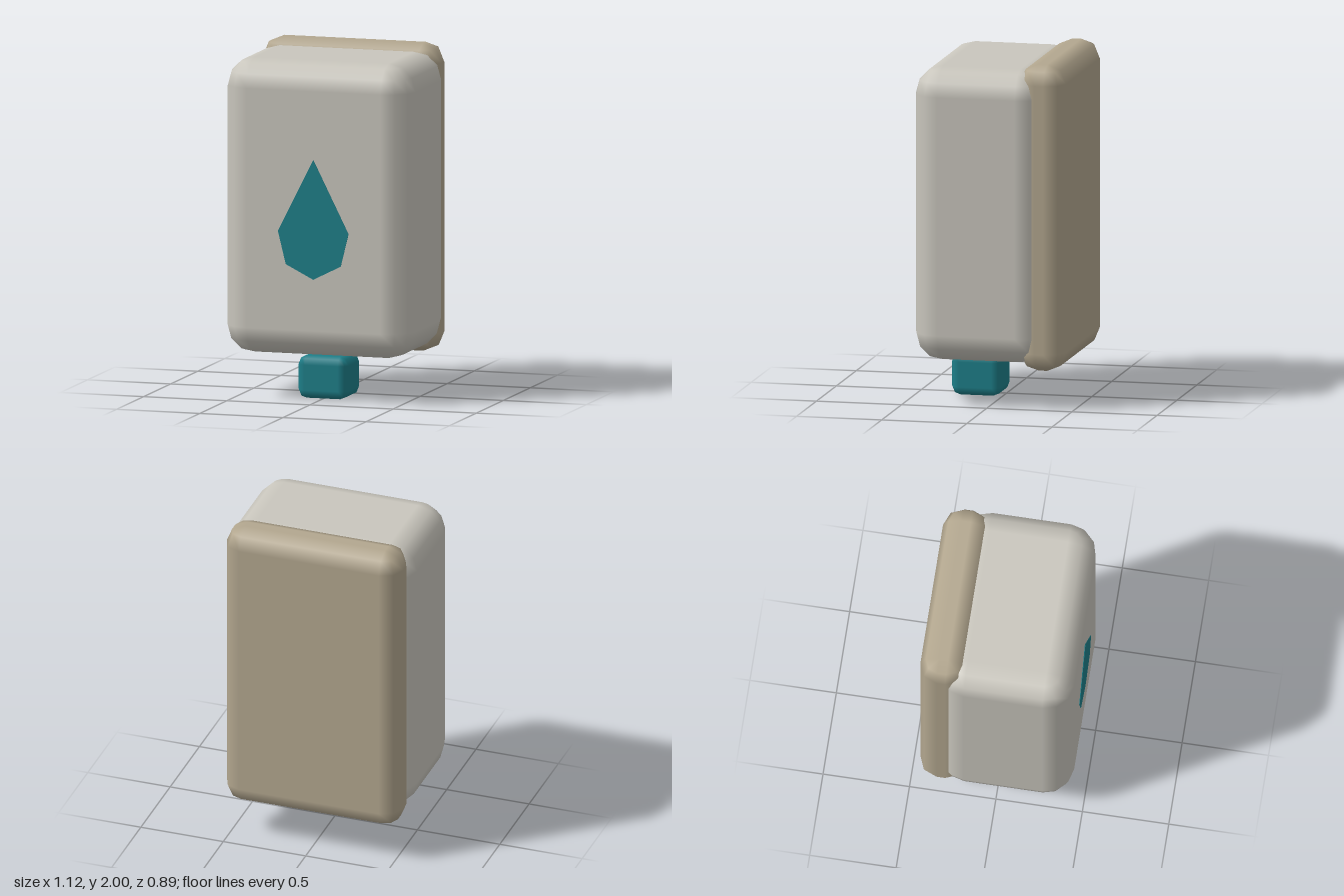
import * as THREE from 'three';

// Box with evenly bevelled edges: a sphere split into corners that are pushed apart.
// n = bevel segments, r = bevel radius
function bevelBox(w, h, d, r, n) {
  const cols = 4 * (n + 1), rows = 2 * n + 3;
  const geo = new THREE.SphereGeometry(1, cols, rows);
  const pos = geo.attributes.position, nor = geo.attributes.normal;
  const quarter = Math.PI / 2;
  for (let j = 0; j <= rows; j++) {
    const top = j <= n + 1;
    const isCentre = j === 0 || j === rows;
    const lat = isCentre ? (top ? 0 : Math.PI) : ((top ? j - 1 : j - 2) / n) * quarter;
    for (let i = 0; i <= cols; i++) {
      const k = j * (cols + 1) + i;
      const corner = Math.floor((i % cols) / (n + 1));
      const step = (i % cols) % (n + 1);
      const phi = (corner + step / n) * quarter;
      const mid = (corner + 0.5) * quarter;
      const nx = -Math.cos(phi) * Math.sin(lat);
      const ny = Math.cos(lat);
      const nz = Math.sin(phi) * Math.sin(lat);
      const spread = isCentre ? 0 : 1;
      pos.setXYZ(k,
        nx * r - Math.sign(Math.cos(mid)) * (w / 2 - r) * spread,
        ny * r + (top ? 1 : -1) * (h / 2 - r),
        nz * r + Math.sign(Math.sin(mid)) * (d / 2 - r) * spread);
      nor.setXYZ(k, nx, ny, nz);
    }
  }
  return geo;
}

export function createModel() {
  const group = new THREE.Group();
  const grey = new THREE.MeshStandardMaterial({ color: 0xc9c6bd });
  const tan = new THREE.MeshStandardMaterial({ color: 0xb3a78f });
  const teal = new THREE.MeshStandardMaterial({ color: 0x1d7f89 });

  function add(name, geo, material, x, y, z) {
    const mesh = new THREE.Mesh(geo, material);
    mesh.name = name;
    mesh.position.set(x, y, z);
    group.add(mesh);
  }

  // Main housing, wall plate behind it and nozzle below
  add('housing', bevelBox(1.124, 1.705, 0.775, 0.16, 3), grey, 0, 1.112, 0.05);
  add('backPlate', bevelBox(1.07, 1.78, 0.27, 0.11, 2), tan, 0, 1.11, -0.313);
  add('nozzle', bevelBox(0.3, 0.246, 0.29, 0.05, 2), teal, 0, 0.125, 0.151);

  // Faceted droplet on the front face
  const drop = new THREE.Shape([
    [0, 1.41], [-0.212, 0.99], [-0.165, 0.8], [0, 0.717], [0.165, 0.8], [0.212, 0.99],
  ].map(([x, y]) => new THREE.Vector2(x, y)));
  add('droplet', new THREE.ExtrudeGeometry(drop, { depth: 0.02, bevelEnabled: false }), teal, 0, 0, 0.421);

  return group;
}
